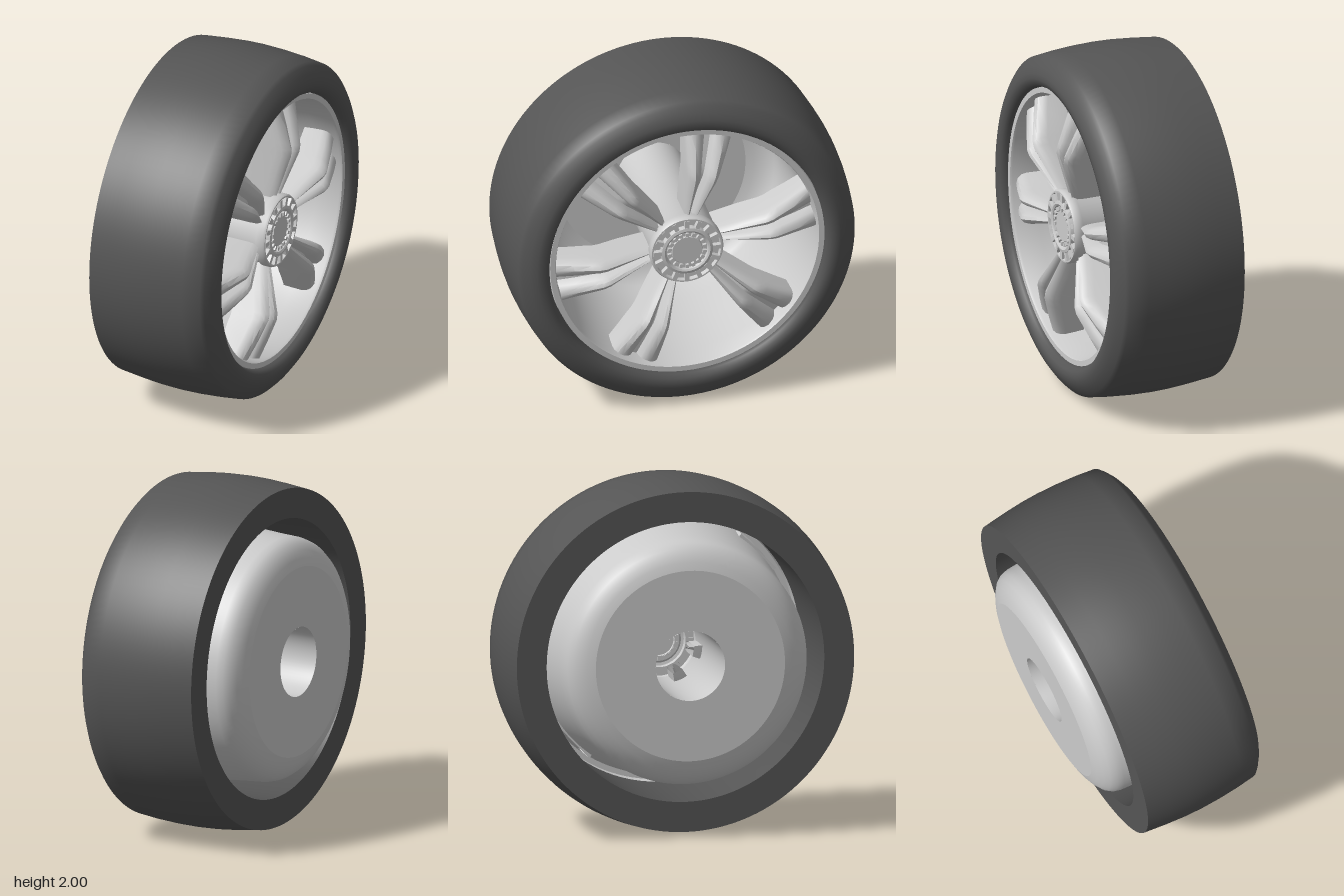
import * as THREE from 'three';
import { toCreasedNormals } from 'three/addons/utils/BufferGeometryUtils.js';

const grey = new THREE.MeshStandardMaterial({ color: 0xcccccc, side: THREE.DoubleSide });
const rubber = new THREE.MeshStandardMaterial({ color: 0x555555, side: THREE.DoubleSide });

function addMesh(parent, name, geometry, material = grey) {
  const mesh = new THREE.Mesh(geometry, material);
  mesh.name = name;
  parent.add(mesh);
  return mesh;
}

// Profile points are [radius, height along the axle]
function turned(profile, segments = 96, crease = 0.7) {
  const points = profile.map(([r, h]) => new THREE.Vector2(r, h));
  return toCreasedNormals(new THREE.LatheGeometry(points, segments), crease);
}

// Twin-ridged spoke: one grooved cross-section lofted outward from the hub
function spokeGeometry() {
  // [radius, half width, front height, depth]
  const stations = [
    [0.15, 0.03, 0.345, 0.2], [0.22, 0.043, 0.365, 0.21], [0.35, 0.067, 0.405, 0.22],
    [0.47, 0.089, 0.442, 0.22], [0.51, 0.097, 0.442, 0.215], [0.55, 0.105, 0.43, 0.21],
    [0.65, 0.124, 0.4, 0.19], [0.75, 0.143, 0.365, 0.17],
  ];
  // [across, share of depth]
  const half = [[-1, 1], [-1, 0.38], [-0.95, 0.2], [-0.82, 0.07], [-0.6, 0],
    [-0.38, 0.04], [-0.23, 0.14], [-0.12, 0.4]];
  const section = [...half, ...half.map(([t, d]) => [-t, d]).reverse()];
  const n = section.length;
  const positions = [];
  const index = [];
  for (const [r, w, front, depth] of stations)
    for (const [t, d] of section) positions.push(r, front - d * depth, t * w);
  for (let i = 0; i < stations.length - 1; i++)
    for (let j = 0; j < n; j++) {
      const k = (j + 1) % n;
      const a = i * n + j, b = a + n, c = i * n + k, d = c + n;
      index.push(a, c, b, c, d, b);
    }
  const geometry = new THREE.BufferGeometry();
  geometry.setAttribute('position', new THREE.Float32BufferAttribute(positions, 3));
  geometry.setIndex(index);
  geometry.computeVertexNormals();
  return toCreasedNormals(geometry, 0.65);
}

// Blocks spaced evenly round the axle
function addBlockRing(parent, name, count, radius, height, size) {
  const geometry = new THREE.BoxGeometry(...size);
  for (let i = 0; i < count; i++) {
    const angle = (i / count) * Math.PI * 2;
    const block = addMesh(parent, name, geometry);
    block.position.set(Math.cos(angle) * radius, height, -Math.sin(angle) * radius);
    block.rotation.y = angle;
  }
}

export function createModel() {
  const model = new THREE.Group();
  model.name = 'wheel';

  // Everything is built round a vertical axle, then laid over to face +x
  const wheel = new THREE.Group();
  wheel.name = 'wheelAssembly';
  wheel.rotation.z = -Math.PI / 2;
  wheel.position.y = 1;
  model.add(wheel);

  // Tyre with crowned tread and rounded outer shoulder
  addMesh(wheel, 'tyre', turned([
    [0.8, -0.32], [0.972, -0.32], [0.988, -0.18], [0.997, -0.07], [1, 0.03],
    [0.997, 0.15], [0.988, 0.27], [0.975, 0.378], [0.955, 0.397], [0.918, 0.423],
    [0.88, 0.441], [0.85, 0.444], [0.82, 0.437], [0.803, 0.415], [0.8, 0.39], [0.8, -0.32],
  ], 128, 0.9), rubber);

  // Flat plate closing the back of the rim
  addMesh(wheel, 'backPlate', turned([[0.2, -0.45], [0.545, -0.45]], 128));

  // Rim barrel with rounded back and flat front lip
  addMesh(wheel, 'rim', turned([
    [0.545, -0.45], [0.59, -0.437], [0.63, -0.418], [0.665, -0.392],
    [0.688, -0.36], [0.698, -0.32], [0.705, -0.2], [0.725, 0.05], [0.748, 0.25],
    [0.758, 0.385], [0.764, 0.398], [0.795, 0.398], [0.798, 0.33],
  ], 128));

  // Six twin spokes, angles clockwise from the top of the face
  const spoke = spokeGeometry();
  for (const degrees of [11, 78.5, 134, 202.5, 260, 314.5])
    addMesh(wheel, 'spoke', spoke).rotation.y = Math.PI - THREE.MathUtils.degToRad(degrees);

  // Hub tube with a grooved front cap
  addMesh(wheel, 'hub', turned([
    [0.2, -0.45], [0.2, 0.33], [0.212, 0.345], [0.212, 0.385], [0.205, 0.398], [0.196, 0.398],
    [0.192, 0.372], [0.152, 0.372], [0.148, 0.402], [0.132, 0.406], [0.122, 0.4],
    [0.118, 0.385], [0.09, 0.385], [0.086, 0.394], [0, 0.394],
  ], 64));
  addBlockRing(wheel, 'hubRib', 16, 0.172, 0.383, [0.046, 0.036, 0.026]);
  addBlockRing(wheel, 'hubStud', 18, 0.103, 0.389, [0.022, 0.024, 0.018]);

  return model;
}
